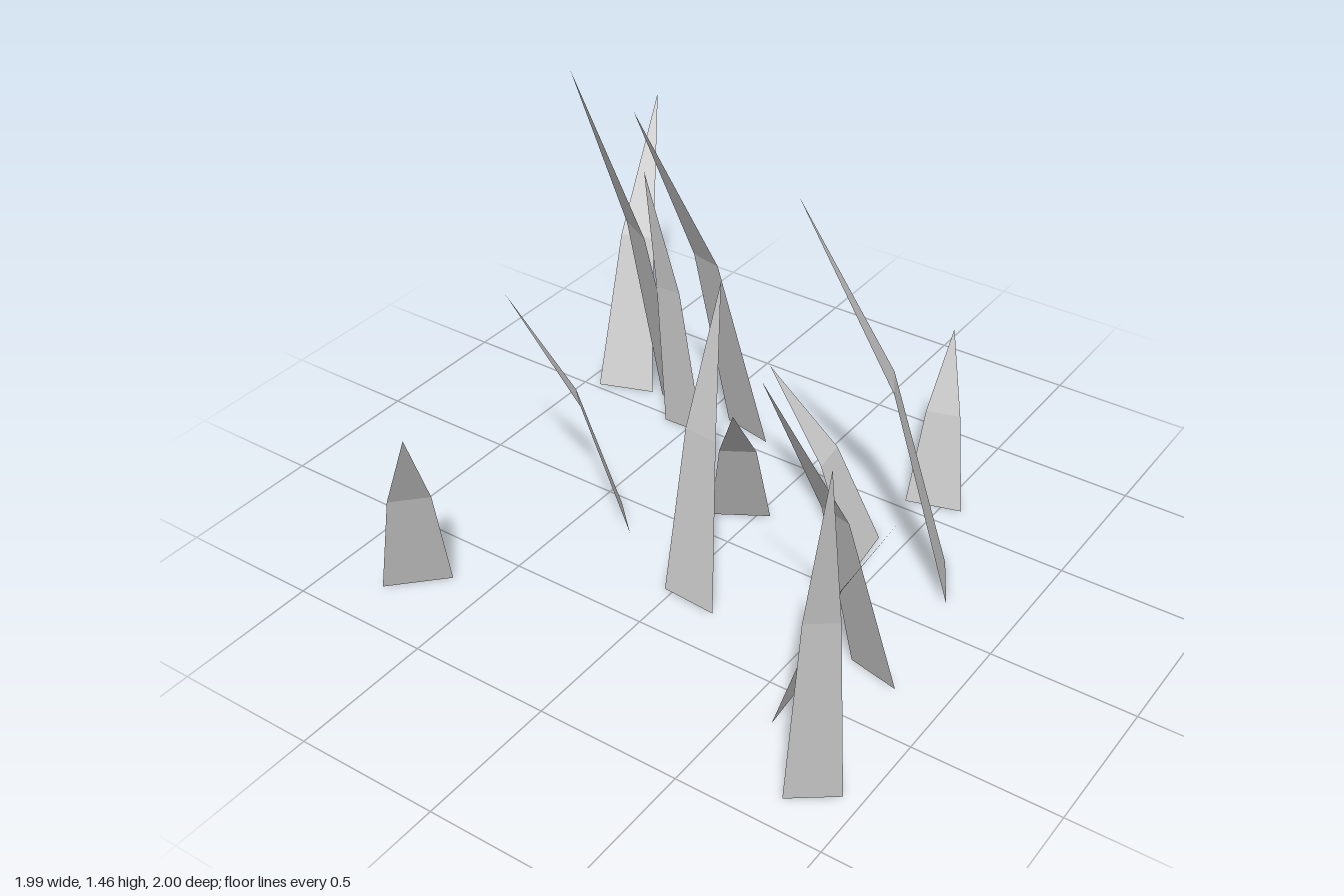
import * as THREE from 'three';

const grey = new THREE.MeshStandardMaterial({ color: 0xcccccc, side: THREE.DoubleSide, flatShading: true });
grey.name = 'grey';

// Each blade: base corner A (x, z), base corner B (x, z), tip (x, z), height
const BLADES = [
  [-0.945, -0.52, -0.75, -0.59, -1.0, -1.0, 1.01],
  [-0.71, -0.6, -0.5, -0.49, -0.78, -0.23, 1.45],
  [-0.6, -0.47, -0.44, -0.475, -0.565, -0.33, 1.1],
  [-0.405, -0.6, -0.215, -0.56, -0.41, -0.08, 1.46],
  [0.38, -0.54, 0.57, -0.595, 0.43, -0.72, 0.63],
  [0.41, -0.31, 0.435, -0.1, 0.06, -0.155, 0.65],
  [-0.135, -0.095, 0.04, -0.2, 0.19, 0.25, 0.73],
  [0.66, -0.32, 0.77, -0.13, 0.275, 0.035, 1.42],
  [-0.03, 0.32, 0.17, 0.335, 0.085, 0.16, 1.13],
  [-0.425, 0.03, -0.3, 0.15, -0.615, 0.345, 0.94],
  [0.655, 0.27, 0.835, 0.31, 0.635, 0.77, 1.31],
  [0.585, 0.415, 0.605, 0.65, 0.915, 0.505, 0.8],
  [-0.8, 0.835, -0.64, 0.67, -0.5, 0.965, 0.78],
  [0.94, 0.785, 0.8, 0.89, 0.99, 0.995, 1.31],
];

// A flat blade that bends once: steep lower quad, then a triangle leaning to the tip
function bladeGeometry([ax, az, bx, bz, tx, tz, h]) {
  const tip = new THREE.Vector3(tx, h, tz);
  let a = new THREE.Vector3(ax, 0, az);
  let b = new THREE.Vector3(bx, 0, bz);
  // order the base corners so the front faces upward
  if ((bz - az) * (tx - ax) - (bx - ax) * (tz - az) < 0) [a, b] = [b, a];
  const mid = (p) => new THREE.Vector3(
    THREE.MathUtils.lerp(p.x, tx, 0.4), h * 0.55, THREE.MathUtils.lerp(p.z, tz, 0.4));
  const ma = mid(a), mb = mid(b);
  const geometry = new THREE.BufferGeometry().setFromPoints([a, b, mb, a, mb, ma, ma, mb, tip]);
  geometry.computeVertexNormals();
  return geometry;
}

export function createModel() {
  const group = new THREE.Group();
  group.name = 'grassTuft';
  BLADES.forEach((blade, i) => {
    const mesh = new THREE.Mesh(bladeGeometry(blade), grey);
    mesh.name = `grassBlade${i + 1}`;
    group.add(mesh);
  });
  return group;
}
